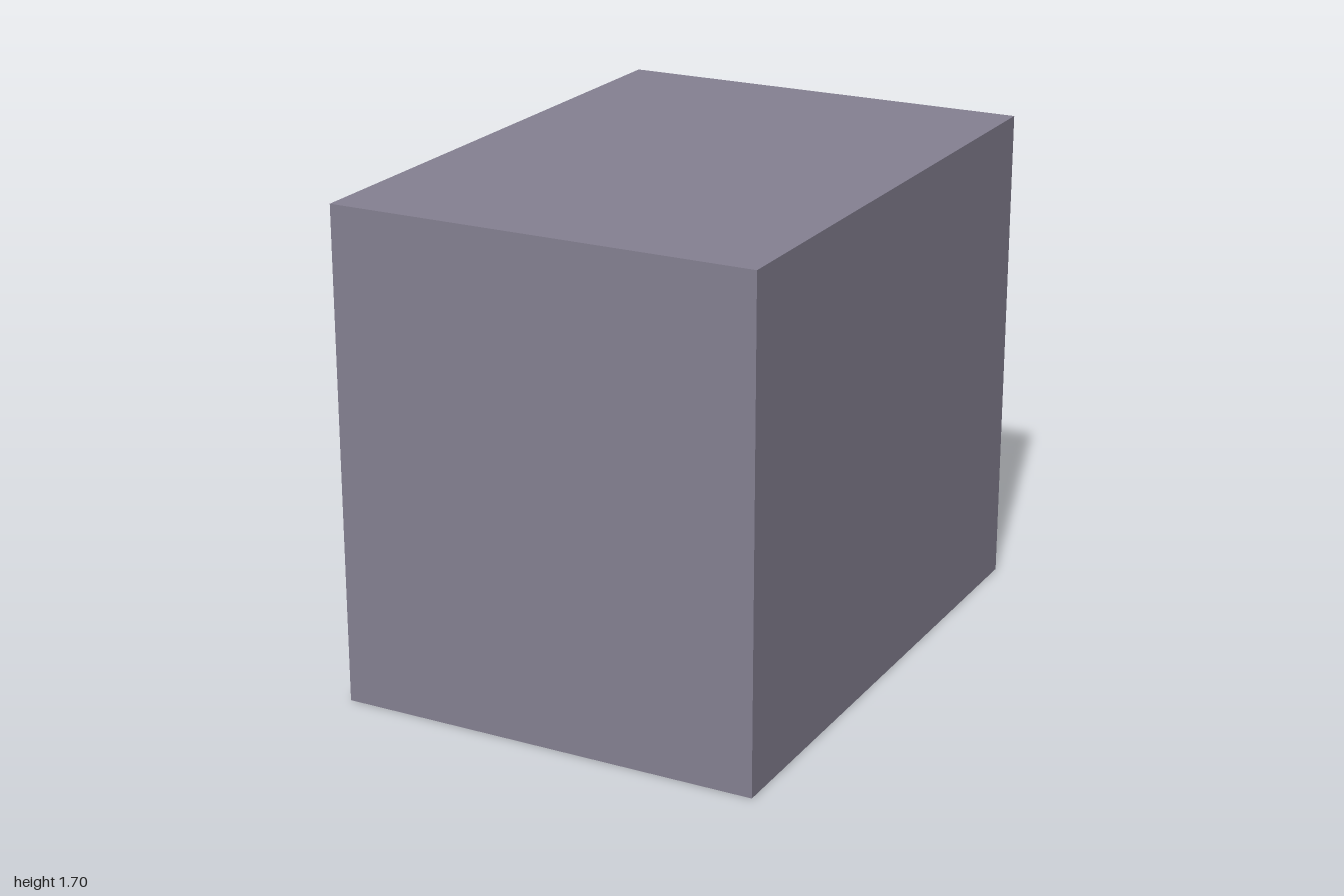
import * as THREE from 'three';

const wallMat = new THREE.MeshStandardMaterial({ color: 0x858192 });
const frameMat = new THREE.MeshStandardMaterial({ color: 0x2e2b3a });
const paneMat = new THREE.MeshStandardMaterial({ color: 0xdb972c });

// Window facing local +z, with its back at z = 0
function makeWindow(width, height, depth, border, recess) {
  const group = new THREE.Group();
  const w = width / 2, h = height / 2, iw = w - border, ih = h - border;

  const outline = new THREE.Shape();
  outline.moveTo(-w, -h).lineTo(w, -h).lineTo(w, h).lineTo(-w, h).closePath();
  const opening = new THREE.Path();
  opening.moveTo(-iw, -ih).lineTo(-iw, ih).lineTo(iw, ih).lineTo(iw, -ih).closePath();
  outline.holes.push(opening);
  const frame = new THREE.Mesh(
    new THREE.ExtrudeGeometry(outline, { depth, bevelEnabled: false }), frameMat);
  frame.name = 'windowFrame';

  // Lit pane set back inside the frame
  const paneDepth = depth - recess;
  const pane = new THREE.Mesh(new THREE.BoxGeometry(iw * 2, ih * 2, paneDepth), paneMat);
  pane.position.z = paneDepth / 2;
  pane.name = 'windowPane';

  group.add(frame, pane);
  return group;
}

export function createModel() {
  const model = new THREE.Group();
  model.name = 'buildingBlock';

  // Main block
  const block = new THREE.Mesh(new THREE.BoxGeometry(1.47, 1.695, 2), wallMat);
  block.position.set(0.05, 0.8475, 0);
  block.name = 'block';
  model.add(block);

  // Three tall windows along the right wall
  [-0.65, -0.045, 0.58].forEach((z, i) => {
    const win = makeWindow(0.52, 1.435, 0.1, 0.056, 0.05);
    win.rotation.y = -Math.PI / 2;
    win.position.set(-0.685, 0.843, z);
    win.name = `window${i + 1}`;
    model.add(win);
  });

  return model;
}
